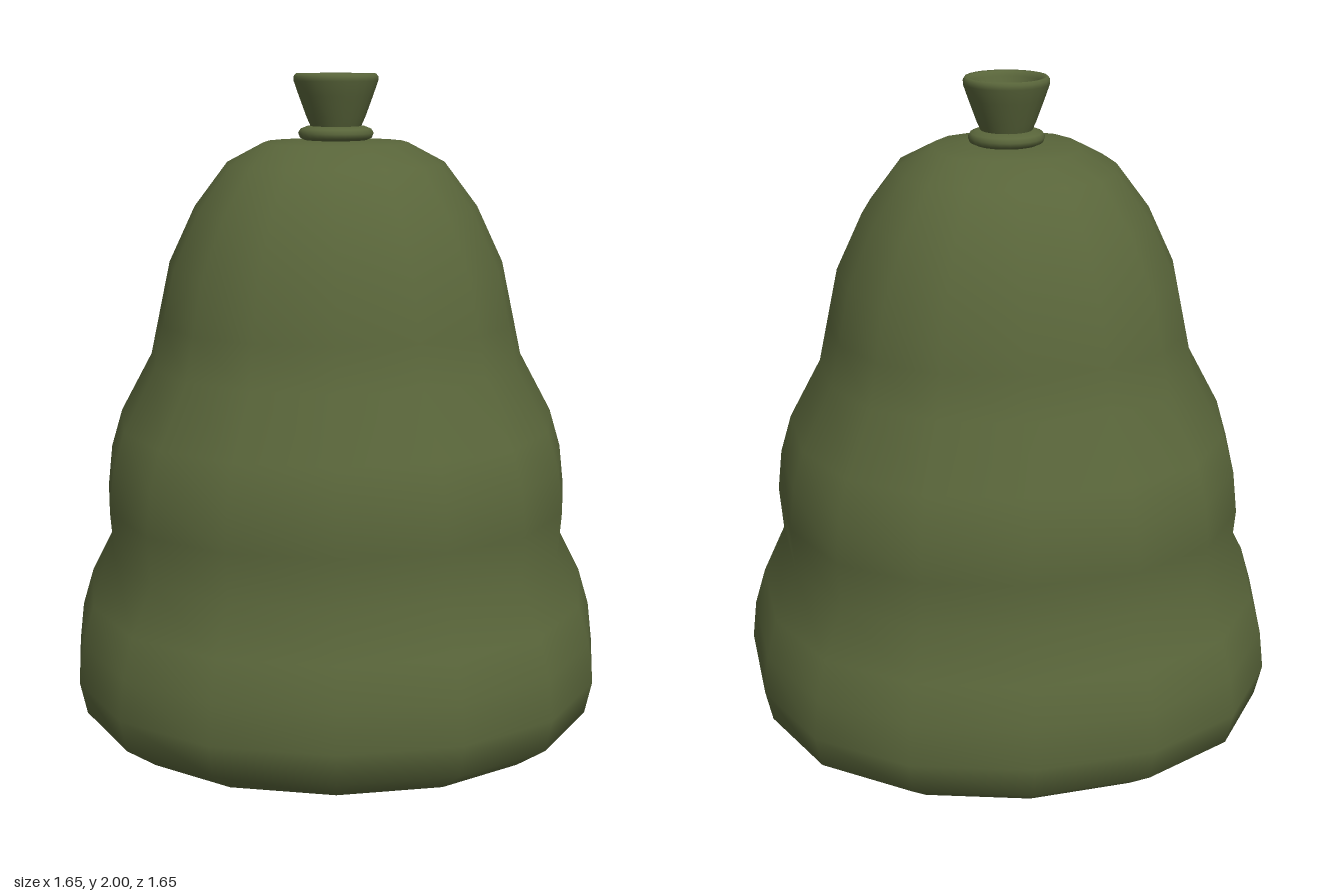
import * as THREE from 'three';
import { mergeVertices } from 'three/addons/utils/BufferGeometryUtils.js';

// Smooth, seamless lathe; "square" pulls the diagonals in slightly
function smoothLathe(profile, sides, square = 0) {
  const points = profile.map(([r, y]) => new THREE.Vector2(r, y));
  let geo = new THREE.LatheGeometry(points, sides);
  const pos = geo.attributes.position;
  for (let i = 0; i < pos.count; i++) {
    const x = pos.getX(i), z = pos.getZ(i);
    const r = Math.hypot(x, z), a = Math.atan2(x, z);
    const radius = r * (1 - square * Math.sin(2 * a) ** 2);
    const angle = a - 0.7 * square * Math.sin(4 * a);
    pos.setX(i, radius * Math.sin(angle));
    pos.setZ(i, radius * Math.cos(angle));
  }
  geo.deleteAttribute('uv');
  geo.deleteAttribute('normal');
  geo = mergeVertices(geo, 1e-5);
  geo.computeVertexNormals();
  return geo;
}

export function createModel() {
  const group = new THREE.Group();
  const olive = new THREE.MeshStandardMaterial({ color: 0x59653a });
  olive.name = 'olive green';

  const add = (name, geometry) => {
    const mesh = new THREE.Mesh(geometry, olive);
    mesh.name = name;
    group.add(mesh);
  };

  // Three stacked bulges with a gently rounded underside
  add('body', smoothLathe([
    [0, 0], [0.27, 0.02], [0.52, 0.07], [0.71, 0.135], [0.805, 0.21],
    [0.825, 0.305], [0.81, 0.42], [0.775, 0.53], [0.705, 0.66],
    [0.715, 0.8], [0.7, 0.92], [0.665, 1.03], [0.568, 1.2],
    [0.54, 1.32], [0.505, 1.47], [0.425, 1.63], [0.325, 1.755],
    [0.215, 1.81], [0.1, 1.817], [0, 1.817],
  ], 16, 0.048));

  // Rolled collar around the foot of the spout
  add('collar', smoothLathe([
    [0.05, 1.812], [0.085, 1.815], [0.102, 1.823], [0.107, 1.836],
    [0.1, 1.848], [0.082, 1.855], [0.05, 1.857],
  ], 24));

  // Flared, hollow spout
  add('spout', smoothLathe([
    [0.065, 1.835], [0.074, 1.86], [0.083, 1.88], [0.105, 1.94],
    [0.119, 1.98], [0.119, 1.992], [0.113, 2], [0.102, 1.998],
    [0.093, 1.985], [0.08, 1.945], [0.06, 1.912], [0.03, 1.895], [0, 1.89],
  ], 24));

  return group;
}
